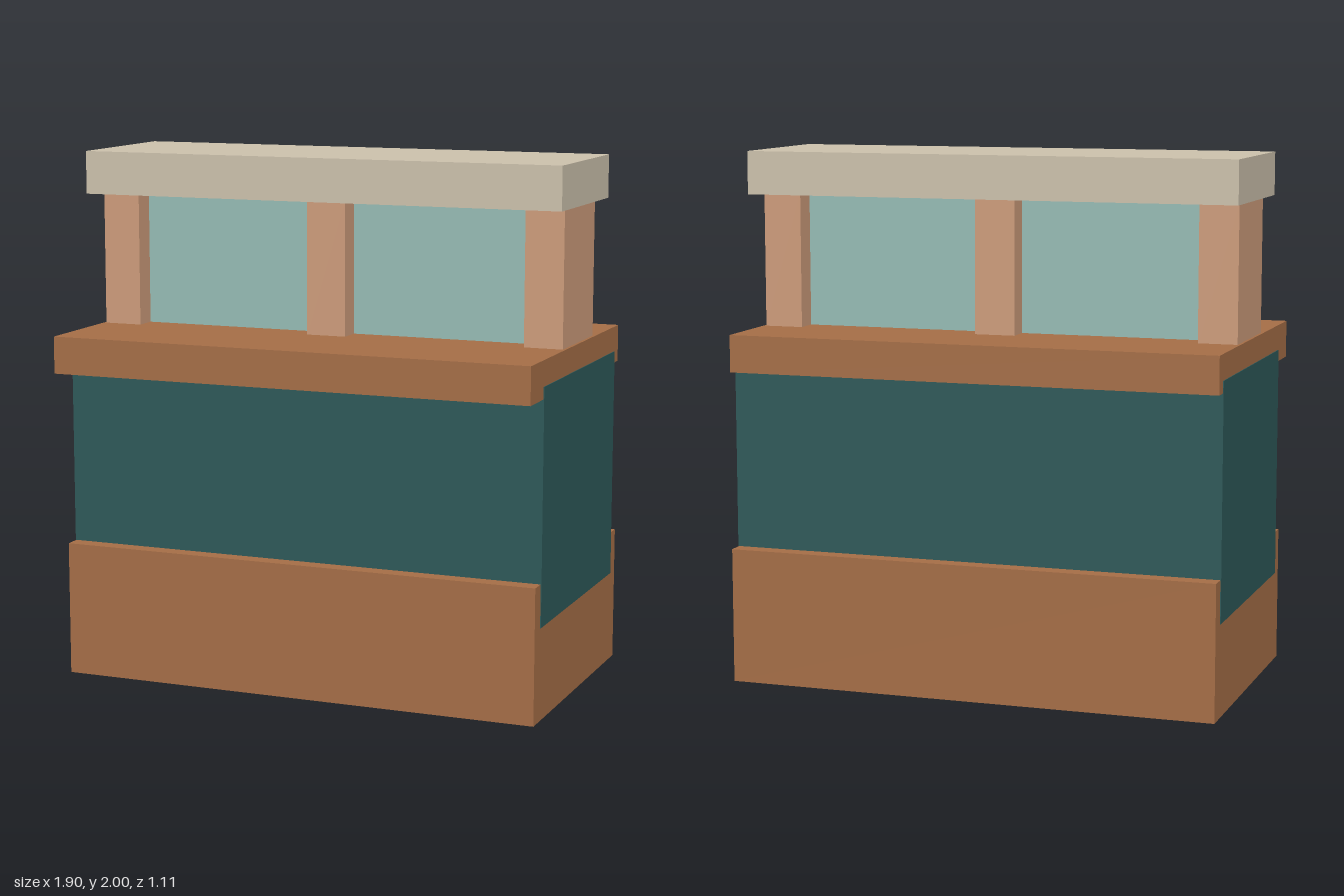
import * as THREE from 'three';

const paint = (name, color) => {
  const m = new THREE.MeshStandardMaterial({ color });
  m.name = name;
  return m;
};

export function createModel() {
  const model = new THREE.Group();
  model.name = 'serviceCounter';

  const brown = paint('brown wood', 0xa46d46);
  const teal = paint('dark teal panel', 0x2d5858);
  const tan = paint('light wood', 0xcc9b7a);
  const glass = paint('pale green glass', 0x95bab3);
  const stone = paint('beige', 0xcbc0ab);

  // Box given by its extents along x, y and z
  const block = (name, material, [x0, x1], [y0, y1], [z0, z1]) => {
    const mesh = new THREE.Mesh(new THREE.BoxGeometry(x1 - x0, y1 - y0, z1 - z0), material);
    mesh.position.set((x0 + x1) / 2, (y0 + y1) / 2, (z0 + z1) / 2);
    mesh.name = name;
    model.add(mesh);
  };

  // Lower counter
  block('base', brown, [-0.94, 0.937], [0, 0.512], [-0.553, 0.471]);
  block('body', teal, [-0.943, 0.94], [0.35, 1.23], [-0.49, 0.408]);
  block('counterTop', brown, [-0.94, 0.937], [1.185, 1.326], [-0.543, 0.556]);

  // Posts holding the roof
  const posts = [['rightPost', -0.93, -0.782], ['middlePost', -0.08, 0.075], ['leftPost', 0.778, 0.926]];
  for (const [name, x0, x1] of posts) block(name, tan, [x0, x1], [1.32, 1.84], [-0.23, 0.148]);

  // Panes set back between the posts
  block('rightWindow', glass, [-0.79, -0.07], [1.32, 1.84], [-0.14, 0.06]);
  block('leftWindow', glass, [0.07, 0.785], [1.32, 1.84], [-0.14, 0.06]);

  // Roof slab
  block('roof', stone, [-0.951, 0.947], [1.837, 2], [-0.335, 0.253]);

  return model;
}
